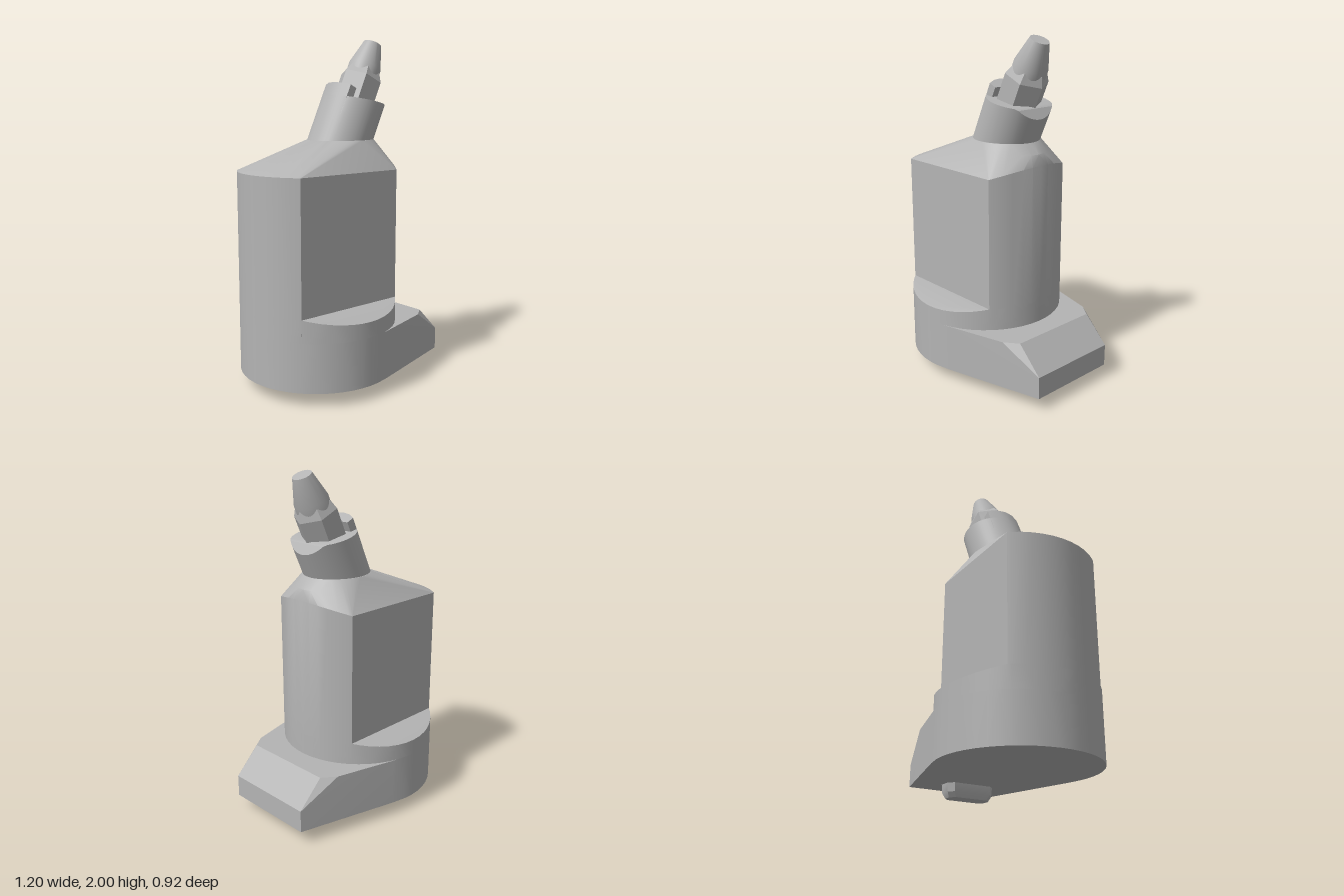
import * as THREE from 'three';
import { toCreasedNormals } from 'three/addons/utils/BufferGeometryUtils.js';
import { ConvexGeometry } from 'three/addons/geometries/ConvexGeometry.js';

const CX = -0.14, R = 0.46;   // centre and radius of the round body
const FLAT = 0.295;           // half depth between the two flat sides

const v = (x, y, z) => new THREE.Vector3(x, y, z);

// [x, z] points of an ellipse
function ring(cx, rx, rz = rx, n = 48) {
  return Array.from({ length: n }, (_, i) => {
    const a = (i / n) * Math.PI * 2;
    return [cx + rx * Math.cos(a), rz * Math.sin(a)];
  });
}

export function createModel() {
  const model = new THREE.Group();
  const grey = new THREE.MeshStandardMaterial({ color: 0xb4b4b4 });
  grey.name = 'grey';

  function add(name, geometry, parent = model) {
    const mesh = new THREE.Mesh(toCreasedNormals(geometry, 0.4), grey);
    mesh.name = name;
    parent.add(mesh);
    return mesh;
  }
  const hull = (name, points, parent) => add(name, new ConvexGeometry(points), parent);

  // Base plate: round at one end, tapering to a chamfered nose
  const base = [];
  for (const [x, z] of ring(CX, R)) {
    if (x < 0) base.push(v(x, 0.08, z), v(x, 0.36, z));
  }
  for (const s of [-1, 1]) {
    base.push(
      v(0.01, 0.08, s * 0.438), v(0.01, 0.36, s * 0.438),
      v(0.6, 0.08, s * 0.28), v(0.6, 0.21, s * 0.28),
      v(0.37, 0.36, s * 0.34), v(0.45, 0.36, s * 0.28)
    );
  }
  hull('basePlate', base);

  // Locating key under the nose
  const key = [];
  for (const sx of [-1, 1]) {
    for (const sz of [-1, 1]) {
      for (const [y, dx, dz] of [[0.1, 0.067, 0.15], [0.03, 0.063, 0.145], [0, 0.052, 0.13]]) {
        key.push(v(0.407 + sx * dx, y, sz * (dz - 0.03)), v(0.407 + sx * (dx - 0.03), y, sz * dz));
      }
    }
  }
  hull('locatingKey', key);

  // Collar: full disc whose top falls away outside the flat sides
  const edge = Math.sqrt(R * R - FLAT * FLAT);
  const collar = [];
  for (const [x, z] of ring(CX, R)) {
    const drop = Math.max(0, Math.abs(z) - FLAT) * 0.25;
    collar.push(v(x, 0.36, z), v(x, 0.49 - drop, z));
  }
  for (const sx of [-1, 1]) {
    for (const sz of [-1, 1]) collar.push(v(CX + sx * edge, 0.49, sz * FLAT));
  }
  hull('collar', collar);

  // Body: flat-sided cylinder with a sloping shoulder
  const outline = ring(CX, R).filter(([, z]) => Math.abs(z) < FLAT);
  for (const sx of [-1, 1]) {
    for (const sz of [-1, 1]) outline.push([CX + sx * edge, sz * FLAT]);
  }
  const body = [];
  for (const [x, z] of outline) {
    const rise = x > 0 ? 0.05 * (1 - (z / FLAT) ** 2) : 0;
    body.push(v(x, 0.4, z), v(x, 1.25 + rise, z));
  }
  for (const [x, z] of ring(0.04, 0.2, 0.19)) body.push(v(x, 1.42, z));
  for (const z of [-0.1, -0.05, 0, 0.05, 0.1]) body.push(v(0.3 - z * z * 3, 1.36, z));
  hull('body', body);

  // Tilted outlet, built along its own axis
  const outlet = new THREE.Group();
  outlet.name = 'outlet';
  outlet.position.set(0.04, 1.42, 0);
  outlet.rotation.z = -THREE.MathUtils.degToRad(24.5);
  model.add(outlet);

  // Neck with a slanted, bevelled top
  const neck = [];
  for (const [x, z] of ring(0, 0.185)) {
    neck.push(v(x, -0.1, z), v(x, Math.min(0.245 + 0.25 * x, 0.285 - (x - 0.11) * 0.7), z));
  }
  hull('neck', neck, outlet);

  // Upright lip behind the nut
  const lip = [];
  for (const z of [-0.11, -0.055, 0, 0.055, 0.11]) {
    const x = -Math.sqrt(0.185 ** 2 - z * z);
    for (const y of [0.1, 0.28]) lip.push(v(x, y, z), v(-0.1, y, z));
  }
  hull('neckLip', lip, outlet);

  // Hexagonal nut with a chamfered end, corners along the tilt
  const nut = [];
  for (const [r, y] of [[0.127, 0.15], [0.127, 0.39], [0.1, 0.445]]) {
    for (const [x, z] of ring(0, r, r, 6)) nut.push(v(x, y, z));
  }
  hull('hexNut', nut, outlet);

  // Tapered nozzle
  const profile = [[0, 0.38], [0.098, 0.38], [0.098, 0.465], [0.055, 0.615], [0, 0.615]];
  add('nozzle', new THREE.LatheGeometry(profile.map(([x, y]) => new THREE.Vector2(x, y)), 40), outlet);

  return model;
}
